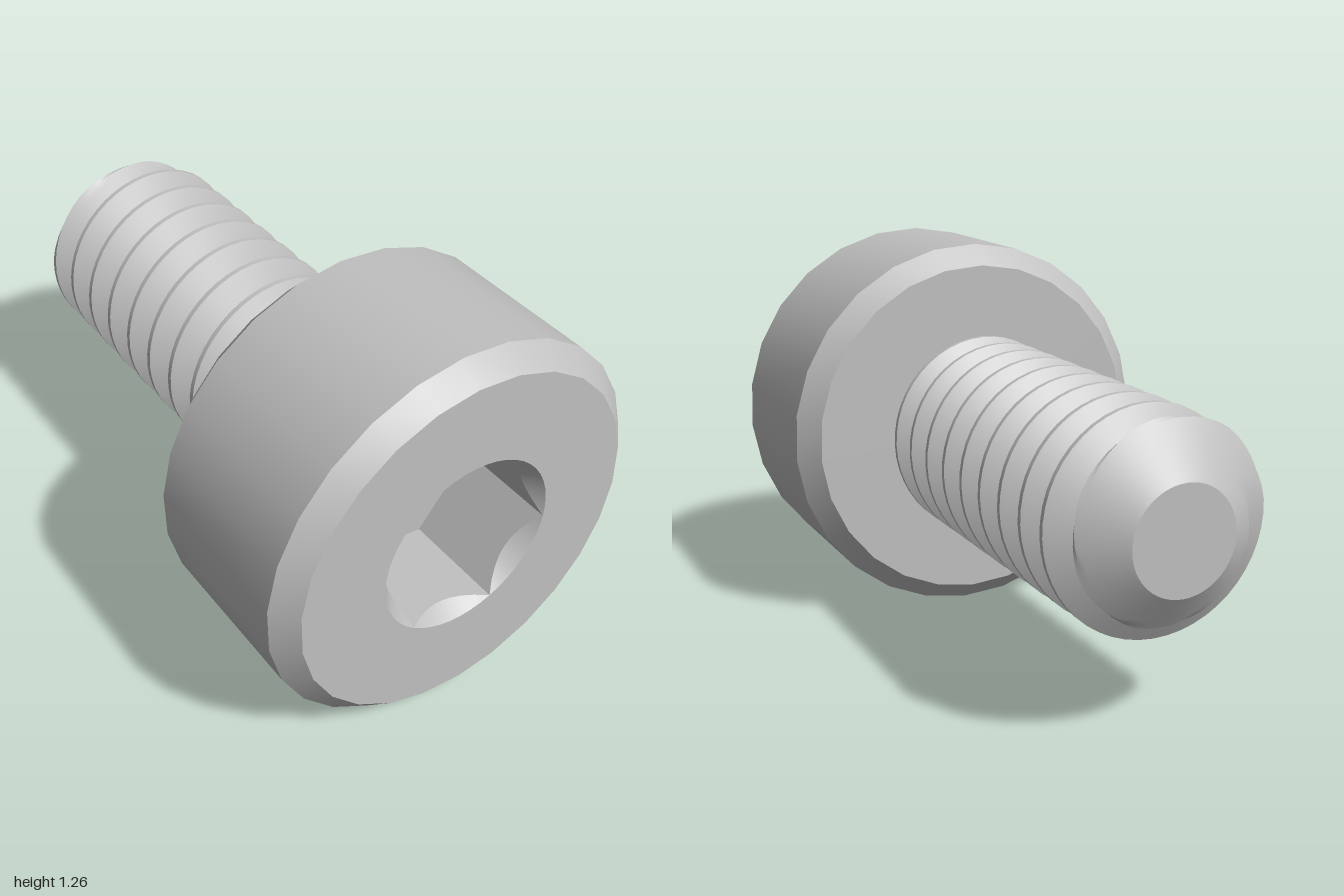
import * as THREE from 'three';
import { toCreasedNormals } from 'three/addons/utils/BufferGeometryUtils.js';

const AXIS_Y = 0.633;
const HEAD_R = 0.633, FACE_R = 0.568, HEAD_BACK = 1 / 3, HEAD_SIDES = 26, HEAD_TURN = 0.04;
const HEX_R = 0.2887, HEX_FLAT = 0.25, HEX_TURN = -7 * Math.PI / 180, FLOOR_Z = 0.667;
const CREST_R = 0.333, PITCH = 0.1333, HALF_FLAT = PITCH / 16, FLANK = 0.05;
const CREST_Z = 0.258, TIP_R = 0.163, TIP_SLOPE = 1.5;

// Surface from a grid of points: columns run counterclockwise about z
function gridSurface(cols, rows, point, crease) {
  const pos = [];
  const ab = new THREE.Vector3(), ac = new THREE.Vector3();
  const triangle = (a, b, c) => {
    ab.subVectors(b, a);
    ac.subVectors(c, a);
    if (ab.cross(ac).length() < 1e-9) return;
    for (const p of [a, b, c]) pos.push(p.x, p.y, p.z);
  };
  for (let j = 0; j < rows; j++) {
    for (let i = 0; i < cols; i++) {
      const a = point(i, j), b = point(i + 1, j), c = point(i + 1, j + 1), d = point(i, j + 1);
      triangle(a, b, c);
      triangle(a, c, d);
    }
  }
  const geo = new THREE.BufferGeometry();
  geo.setAttribute('position', new THREE.Float32BufferAttribute(pos, 3));
  return toCreasedNormals(geo, crease);
}

const polar = (r, a, z) => new THREE.Vector3(r * Math.cos(a), r * Math.sin(a), z);

// Head body: chamfered cylinder, open at the front
function headGeometry() {
  const profile = [[0, HEAD_BACK], [FACE_R, HEAD_BACK], [HEAD_R, 0.4], [HEAD_R, 0.935], [FACE_R, 1]]
    .map(([r, z]) => new THREE.Vector2(r, z));
  const geo = new THREE.LatheGeometry(profile, HEAD_SIDES, HEAD_TURN);
  geo.rotateX(Math.PI / 2);
  return toCreasedNormals(geo, 0.5);
}

// Front face: disc with a round opening
function faceGeometry() {
  const ring = (r, n, turn) => Array.from({ length: n }, (_, i) => {
    const a = turn + i / n * Math.PI * 2;
    return new THREE.Vector2(r * Math.cos(a), r * Math.sin(a));
  });
  const shape = new THREE.Shape(ring(FACE_R, HEAD_SIDES, HEAD_TURN - Math.PI / 2));
  shape.holes.push(new THREE.Path(ring(HEX_R, 48, HEX_TURN)));
  const geo = new THREE.ShapeGeometry(shape);
  geo.translate(0, 0, 1);
  return geo;
}

// Hex socket: conical lead-in, six flat walls and a flat floor
function socketGeometry() {
  const cols = 48, sixth = Math.PI / 3;
  return gridSurface(cols, 3, (i, j) => {
    const a = (i % cols) / cols * Math.PI * 2;
    const hexR = HEX_FLAT / Math.cos((a + 1e-9) % sixth - sixth / 2);
    const leadIn = 1.3 * (HEX_R - hexR);
    const r = [HEX_R, hexR, hexR, 0][j];
    const z = [1, 1 - leadIn, FLOOR_Z, FLOOR_Z][j];
    return polar(r, a + HEX_TURN, z);
  }, 0.4);
}

// Shank: right-handed V thread cut off by the tip cone
function threadGeometry() {
  const cols = 48, steps = 6;
  const offsets = [];
  for (let s = 0; s <= steps; s++) offsets.push(HALF_FLAT + FLANK * s / steps);
  for (let s = steps; s >= 0; s--) offsets.push(PITCH - HALF_FLAT - FLANK * s / steps);
  const n = offsets.length, turns = 13;
  return gridSurface(cols, n * turns, (i, j) => {
    const a = i / cols * Math.PI * 2;
    if (j === 0) return polar(0, a, -1);
    const crest = CREST_Z + PITCH * i / cols;
    const k = Math.floor(j / n) - 11;
    const z = THREE.MathUtils.clamp(crest + k * PITCH + offsets[j % n], -1, HEAD_BACK + 0.005);
    const t = (z - crest) / PITCH;
    const away = Math.abs(t - Math.round(t)) * PITCH;
    const r = CREST_R - Math.sqrt(3) * THREE.MathUtils.clamp(away - HALF_FLAT, 0, FLANK);
    return polar(Math.min(r, TIP_R + TIP_SLOPE * (z + 1)), a, z);
  }, 0.5);
}

export function createModel() {
  const steel = new THREE.MeshStandardMaterial({ color: 0xc0c0c0 });
  steel.name = 'steel';

  const screw = new THREE.Group();
  screw.name = 'socketHeadScrew';
  const parts = {
    head: headGeometry(),
    headFace: faceGeometry(),
    hexSocket: socketGeometry(),
    threadedShank: threadGeometry(),
  };
  for (const [name, geo] of Object.entries(parts)) {
    const mesh = new THREE.Mesh(geo, steel);
    mesh.name = name;
    mesh.position.y = AXIS_Y;
    screw.add(mesh);
  }
  return screw;
}
